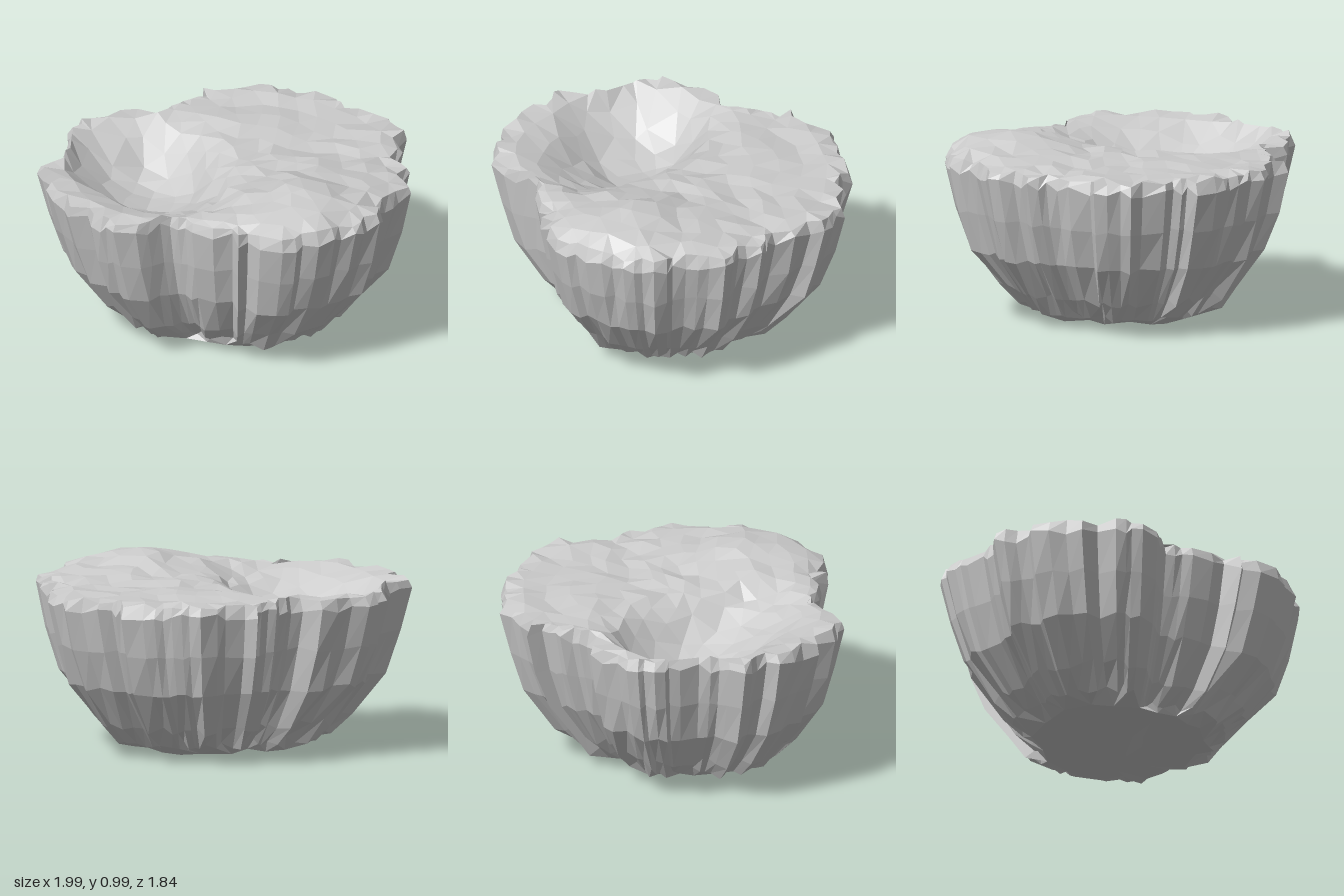
import * as THREE from 'three';

// Main corners of the rim seen from above, as x, z pairs running from +x towards +z
const CORNERS = [
  [0.99, -0.2], [0.99, 0], [0.92, 0.03], [0.9, 0.15], [0.82, 0.22], [0.84, 0.38], [0.77, 0.42], [0.75, 0.6],
  [0.56, 0.69], [0.46, 0.85], [0.3, 0.9], [0.08, 0.92], [-0.12, 0.9], [-0.22, 0.83], [-0.25, 0.74], [-0.31, 0.75],
  [-0.3, 0.65], [-0.4, 0.62], [-0.48, 0.53], [-0.55, 0.4], [-0.75, 0.41], [-0.86, 0.36], [-0.93, 0.23], [-0.9, 0.12],
  [-0.99, 0.06], [-0.99, -0.22], [-0.92, -0.25], [-0.95, -0.43], [-0.86, -0.46], [-0.72, -0.55], [-0.68, -0.65], [-0.62, -0.78],
  [-0.48, -0.85], [-0.2, -0.85], [-0.13, -0.76], [0.02, -0.78], [0.06, -0.83], [0.2, -0.83], [0.22, -0.92], [0.26, -0.85],
  [0.52, -0.84], [0.63, -0.72], [0.75, -0.62], [0.83, -0.53], [0.82, -0.4], [0.89, -0.37], [0.92, -0.25],
];
const START = Math.atan2(CORNERS[0][1], CORNERS[0][0]);

function seeded(seed) {
  return () => {
    seed = (seed * 16807) % 2147483647;
    return (seed / 2147483647) * 2 - 1; // -1 to 1
  };
}

// Adds a pair of notches along the longer edges between corners
function flutedOutline(rand) {
  return CORNERS.flatMap((a, i) => {
    const b = CORNERS[(i + 1) % CORNERS.length];
    const points = [a];
    if (Math.hypot(b[0] - a[0], b[1] - a[1]) < 0.13) return points;
    for (const [t0, s0] of [[0.36, 0.98], [0.62, 1.002]]) {
      const t = t0 + rand() * 0.08, s = s0 + rand() * 0.008;
      points.push([(a[0] + (b[0] - a[0]) * t) * s, (a[1] + (b[1] - a[1]) * t) * s]);
    }
    return points;
  });
}

// Rim radius at an angle, smoothed over its neighbours
function smoothRadius(angle) {
  let sum = 0, total = 0;
  for (const [x, z] of CORNERS) {
    const diff = Math.atan2(z, x) - angle;
    const weight = Math.exp(-((Math.atan2(Math.sin(diff), Math.cos(diff)) / 0.12) ** 2));
    sum += weight * Math.hypot(x, z);
    total += weight;
  }
  return sum / total;
}

// Height of the top: a low hill at the front and a hollow at the back right,
// steep at its back and left, rising gently to the front
function topHeight(x, z) {
  const hill = 0.1 * Math.exp(-((x - 0.14) ** 2 + (z - 0.57) ** 2) / 0.1);
  const dx = x + 0.33, dz = z + 0.36;
  const d = Math.hypot(dx / (dx > 0 ? 0.4 : 0.58), dz / (dz > 0 ? 0.88 : 0.42));
  const hollow = 0.26 * (1 - THREE.MathUtils.smoothstep(d, 0.2, 1));
  return 0.888 + hill - hollow;
}

// Triangles between two rings: equal rings point to point, others by the shorter diagonal
function stitch(lower, upper, out) {
  const nl = lower.length, nu = upper.length;
  const L = (i) => lower[i % nl], U = (j) => upper[j % nu];
  const gap = (a, b) => Math.hypot(a[0] - b[0], a[1] - b[1], a[2] - b[2]);
  let i = 0, j = 0;
  while (i < nl || j < nu) {
    const lowerNext = nl === nu ? i === j : gap(L(i + 1), U(j)) < gap(L(i), U(j + 1));
    if (j >= nu || (i < nl && lowerNext)) {
      if (nl > 1) out.push(...L(i), ...U(j), ...L(i + 1));
      i++;
    } else {
      if (nu > 1) out.push(...L(i), ...U(j), ...U(j + 1));
      j++;
    }
  }
}

function loft(name, rings, material) {
  const positions = [];
  for (let r = 0; r < rings.length - 1; r++) stitch(rings[r], rings[r + 1], positions);
  const geometry = new THREE.BufferGeometry();
  geometry.setAttribute('position', new THREE.Float32BufferAttribute(positions, 3));
  geometry.computeVertexNormals();
  const mesh = new THREE.Mesh(geometry, material);
  mesh.name = name;
  return mesh;
}

export function createModel() {
  const group = new THREE.Group();
  group.name = 'rockIsland';
  const material = new THREE.MeshStandardMaterial({ color: 0xcccccc, flatShading: true });
  const rand = seeded(4711);
  const outline = flutedOutline(rand);

  // Ring of the fluted cliff: the outline scaled at a given height
  const cliffRing = (scale, y, rough, bump) =>
    outline.map(([x, z]) => {
      const s = scale + rand() * rough;
      return [x * s, y + rand() * bump, z * s];
    });

  // Evenly spaced ring for the top and the underside, rounder towards the middle
  const evenRing = (count, scale, heightAt, bump) =>
    Array.from({ length: count }, (_, i) => {
      const angle = START + ((i + rand() * 0.25) / count) * Math.PI * 2;
      const radius = scale * THREE.MathUtils.lerp(0.85, smoothRadius(angle), scale) + rand() * 0.018;
      const x = Math.cos(angle) * radius, z = Math.sin(angle) * radius;
      return [x, heightAt(x, z) + rand() * bump, z];
    });

  // Edges shared by the cliff and its neighbours
  const rim = cliffRing(0.978, 0.887, 0.01, 0.014);
  const foot = cliffRing(0.59, 0.085, 0.012, 0.025);

  // Fluted cliff that narrows towards the bottom
  const cliff = [
    foot,
    cliffRing(0.7, 0.18, 0.01, 0.025),
    cliffRing(0.865, 0.39, 0.01, 0.015),
    cliffRing(0.945, 0.61, 0.006, 0.012),
    cliffRing(1, 0.83, 0, 0.025),
    rim,
  ];
  group.add(loft('cliff', cliff, material));

  // Uneven underside
  const underside = [
    [[0.04, 0, 0.03]],
    evenRing(7, 0.17, () => 0.022, 0.018),
    evenRing(13, 0.34, () => 0.024, 0.018),
    evenRing(24, 0.51, () => 0.032, 0.016),
    foot,
  ];
  group.add(loft('underside', underside, material));

  // Rolling top with the hollow
  const rows = [[44, 0.89], [40, 0.77], [34, 0.64], [28, 0.51], [21, 0.38], [14, 0.25], [7, 0.12]];
  const top = [rim, ...rows.map(([count, scale]) => evenRing(count, scale, topHeight, 0.016))];
  top.push([[0, topHeight(0, 0), 0]]);
  group.add(loft('top', top, material));

  return group;
}
